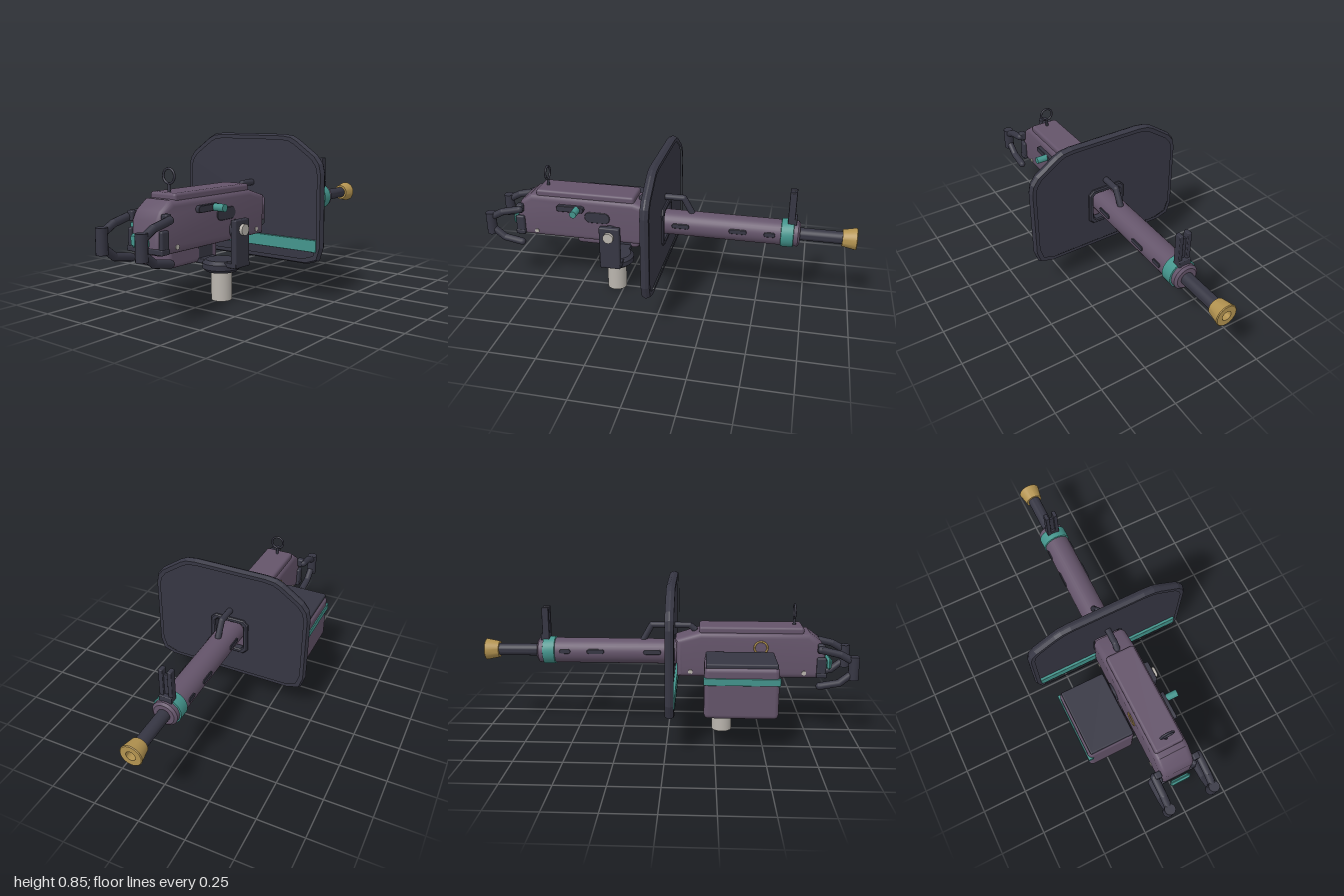
import * as THREE from 'three';
import { RoundedBoxGeometry } from 'three/addons/geometries/RoundedBoxGeometry.js';
import { toCreasedNormals } from 'three/addons/utils/BufferGeometryUtils.js';

const mat = (name, color) => Object.assign(new THREE.MeshStandardMaterial({ color }), { name });

export function createModel() {
  const purple = mat('plum paint', 0x64546a);
  const dark = mat('dark gunmetal', 0x363643);
  const teal = mat('teal paint', 0x43948c);
  const steel = mat('bare steel', 0xbab5ae);
  const brass = mat('brass', 0xb39350);
  const group = new THREE.Group();

  const add = (name, geo, material, x = 0, y = 0, z = 0) => {
    const mesh = new THREE.Mesh(geo, material);
    mesh.name = name;
    mesh.position.set(x, y, z);
    group.add(mesh);
    return mesh;
  };
  // Box given by its min and max corners, with rounded edges
  const box = (name, material, [x0, x1], [y0, y1], [z0, z1], r = 0.004) =>
    add(name, new RoundedBoxGeometry(x1 - x0, y1 - y0, z1 - z0, 3, r), material,
      (x0 + x1) / 2, (y0 + y1) / 2, (z0 + z1) / 2);
  const vectors = (pts) => pts.map(([a, b]) => new THREE.Vector2(a, b));
  const shapeOf = (pts) => new THREE.Shape(vectors(pts));
  // Rectangle with cut corners
  const cutRect = (x, y0, y1, c) => [[x, y0 + c], [x, y1 - c], [x - c, y1], [c - x, y1],
    [-x, y1 - c], [-x, y0 + c], [c - x, y0], [x - c, y0]];
  // Plate facing z with chamfered edges, from z0 to z1
  const plate = (name, material, shape, z0, z1, thickness, size) =>
    add(name, new THREE.ExtrudeGeometry(shape, { depth: z1 - z0 - 2 * thickness, bevelThickness: thickness,
      bevelSize: size, bevelOffset: -size, bevelSegments: 1 }), material, 0, 0, z0 + thickness);
  // Side profile in (z, y), extruded across x and centred, with rounded edges
  const sideProfile = (shape, width, bevel, segments) => {
    const geo = new THREE.ExtrudeGeometry(shape, {
      depth: width - 2 * bevel, bevelThickness: bevel, bevelSize: bevel,
      bevelOffset: -bevel, bevelSegments: segments, curveSegments: 8 });
    geo.translate(0, 0, -(width - 2 * bevel) / 2).rotateY(-Math.PI / 2);
    return toCreasedNormals(geo, 0.6);
  };
  // Turned part along z from (radius, z) points, outer surface listed from back to front
  const turned = (name, material, pts, y) =>
    add(name, toCreasedNormals(new THREE.LatheGeometry(vectors(pts), 32).rotateX(Math.PI / 2), 0.6), material, 0, y, 0);
  // Bent rod of straight runs with round joints
  const rod = (name, material, pts, radius) => {
    const v = pts.map((p) => new THREE.Vector3(...p));
    v.forEach((p, i) => {
      add(name + 'Joint', new THREE.SphereGeometry(radius, 12, 8), material, p.x, p.y, p.z);
      if (i === 0) return;
      const run = new THREE.LineCurve3(v[i - 1], p), mid = run.getPoint(0.5);
      add(name, new THREE.CylinderGeometry(radius, radius, run.getLength(), 12), material, mid.x, mid.y, mid.z)
        .quaternion.setFromUnitVectors(new THREE.Vector3(0, 1, 0), run.getTangent(0));
    });
  };
  const pin = (name, material, r, length, x, y, z) =>
    add(name, new THREE.CylinderGeometry(r, r, length, 16).rotateZ(Math.PI / 2), material, x, y, z);
  // Flat stadium plate lying in the z-y plane
  const slot = (name, length, height, width, x, y, z) => {
    const s = new THREE.Shape(), r = height / 2, h = length / 2 - r;
    s.absarc(h, 0, r, -Math.PI / 2, Math.PI / 2).absarc(-h, 0, r, Math.PI / 2, Math.PI * 1.5);
    add(name, sideProfile(s, width, 0.002, 1), dark, x, y, z);
  };

  // Receiver and top cover
  add('receiver', sideProfile(shapeOf([[0.05, 0.32], [0.81, 0.32], [0.835, 0.35], [0.828, 0.48], [0.805, 0.522],
    [0.745, 0.567], [0.17, 0.567], [0.04, 0.525]]), 0.186, 0.03, 5), purple);
  box('topCover', purple, [-0.08, 0.08], [0.553, 0.595], [0.165, 0.715], 0.014);

  // Barrel jacket, collar, barrel and flared muzzle
  const axis = 0.44;
  turned('barrelJacket', purple, [[0, -0.71], [0.055, -0.71], [0.068, -0.7], [0.068, 0.06], [0, 0.06]], axis);
  turned('jacketCollar', teal, [[0.062, -0.68], [0.075, -0.676], [0.075, -0.614], [0.062, -0.61]], axis);
  turned('barrel', dark, [[0, -0.95], [0.033, -0.95], [0.033, -0.69], [0, -0.69]], axis);
  turned('muzzle', brass, [[0.025, -0.94], [0.025, -1], [0.054, -1], [0.058, -0.996], [0.044, -0.925], [0.03, -0.925]], axis);
  for (const side of [-1, 1]) {
    for (const [z, len] of [[-0.085, 0.095], [-0.39, 0.095], [-0.555, 0.06]]) {
      slot('coolingSlot', len, 0.026, 0.01, side * 0.066, 0.449, z);
    }
  }

  // Front sight: two ears joined by a web
  box('frontSightBase', dark, [-0.034, 0.034], [0.5, 0.535], [-0.69, -0.643]);
  for (const s of [-1, 1]) {
    box('frontSightEar', dark, [s * 0.023 - 0.011, s * 0.023 + 0.011], [0.52, 0.68], [-0.68, -0.643]);
  }
  box('frontSightWeb', dark, [-0.015, 0.015], [0.52, 0.65], [-0.667, -0.655], 0.002);

  // Rear ring sight
  add('rearSightRing', new THREE.TorusGeometry(0.035, 0.006, 8, 32), dark, 0, 0.667, 0.67);
  add('rearSightStem', new THREE.CylinderGeometry(0.006, 0.009, 0.05, 10), dark, 0, 0.61, 0.67);

  // Carrying handle passing over the shield opening
  rod('carryHandle', dark, [[0, 0.565, 0.14], [0, 0.586, 0.115], [0, 0.586, -0.09], [0, 0.505, -0.135]], 0.017);

  // Shield: plate with an opening, raised rim, opening frame and stripe
  const half = [[0.2, 0.846], [0.255, 0.839], [0.29, 0.822], [0.402, 0.744], [0.433, 0.703], [0.443, 0.655],
    [0.443, 0.275], [0.421, 0.206], [0.352, 0.183]];
  const outline = [...half, ...half.map(([x, y]) => [-x, y]).reverse()];
  const inner = outline.map(([x, y]) => [x * 0.955, 0.515 + (y - 0.515) * 0.94]);
  const rim = shapeOf(outline), sheet = shapeOf(inner), frame = shapeOf(cutRect(0.108, 0.333, 0.547, 0.025));
  rim.holes.push(new THREE.Path(vectors(inner)));
  for (const s of [sheet, frame]) s.holes.push(new THREE.Path(vectors(cutRect(0.082, 0.358, 0.522, 0.015))));
  plate('shieldRim', dark, rim, 0, 0.044, 0.018, 0.009);
  plate('shieldPlate', dark, sheet, 0.01, 0.034, 0.001, 0);
  plate('openingFrame', dark, frame, -0.004, 0.02, 0.006, 0.006);
  box('shieldStripe', teal, [-0.413, 0.413], [0.252, 0.314], [0.03, 0.048], 0.002);

  // Ammunition box with lid, side strip and feed ring
  box('ammoBox', purple, [-0.368, -0.107], [0.187, 0.455], [0.192, 0.565], 0.024);
  box('ammoBoxLid', dark, [-0.357, -0.114], [0.445, 0.472], [0.2, 0.557], 0.008);
  box('ammoBoxStrip', teal, [-0.375, -0.346], [0.366, 0.402], [0.188, 0.569], 0.003);
  add('feedRing', new THREE.TorusGeometry(0.034, 0.005, 8, 24).rotateY(Math.PI / 2), brass, -0.093, 0.487, 0.49);

  // Charging handle and ejection port on the left
  slot('chargingSlot', 0.155, 0.034, 0.03, 0.1, 0.51, 0.515);
  pin('chargingKnob', teal, 0.019, 0.062, 0.144, 0.51, 0.476);
  slot('ejectionPort', 0.142, 0.062, 0.012, 0.091, 0.465, 0.368);

  // Post, turntable and yoke
  const pz = 0.294;
  add('post', new THREE.CylinderGeometry(0.054, 0.054, 0.17, 32), steel, 0, 0.085, pz);
  const disc = new THREE.LatheGeometry(vectors([[0, 0.152], [0.08, 0.152], [0.098, 0.168], [0.098, 0.195],
    [0.08, 0.212], [0, 0.212]]), 32);
  add('turntable', toCreasedNormals(disc, 0.5), dark, 0, 0, pz);
  box('yokeBase', dark, [-0.138, 0.138], [0.185, 0.21], [0.235, 0.35]);
  for (const s of [-1, 1]) {
    box('yokeArm', dark, [s * 0.122 - 0.017, s * 0.122 + 0.017], [0.187, 0.43], [0.236, 0.35], 0.008);
    pin('pivotCollar', dark, 0.05, 0.03, s * 0.105, 0.378, pz);
    pin('pivotBolt', steel, 0.029, 0.04, s * 0.137, 0.378, pz);
    for (const z of [0.12, 0.72]) pin('rivet', steel, 0.012, 0.01, s * 0.092, 0.352, z);
  }

  // Rear plate, trigger and twin grips
  box('rearBar', dark, [-0.112, 0.112], [0.33, 0.357], [0.785, 0.838], 0.006);
  plate('trigger', teal, shapeOf(cutRect(0.056, 0.358, 0.422, 0.013)), 0.849, 0.873, 0.01, 0.01);
  for (const s of [-1, 1]) {
    const x = s * 0.125;
    box('rearBracket', dark, [s * 0.098 - 0.012, s * 0.098 + 0.012], [0.33, 0.44], [0.785, 0.835], 0.01);
    box('gripMount', dark, [s * 0.107 - 0.018, s * 0.107 + 0.018], [0.465, 0.515], [0.785, 0.82], 0.008);
    rod('gripUpperArm', dark, [[x, 0.488, 0.8], [x, 0.465, 0.9], [x, 0.435, 0.955]], 0.02);
    rod('gripLowerArm', dark, [[x, 0.292, 0.8], [x, 0.31, 0.9], [x, 0.355, 0.955]], 0.02);
    add('grip', new THREE.CylinderGeometry(0.028, 0.028, 0.124, 16), dark, x, 0.393, 0.972);
  }
  return group;
}
